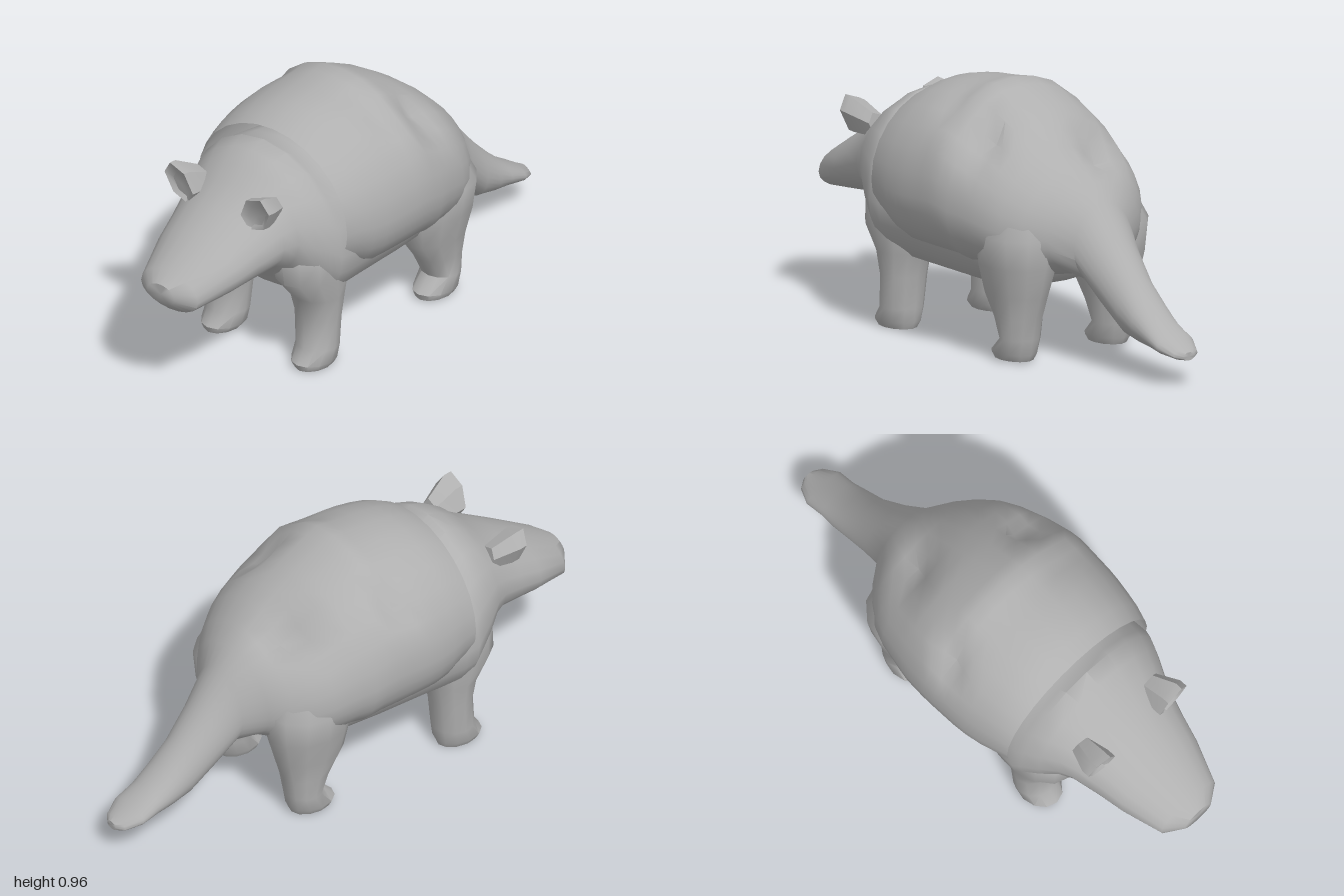
import * as THREE from 'three';
import { toCreasedNormals } from 'three/addons/utils/BufferGeometryUtils.js';

const grey = new THREE.MeshStandardMaterial({ color: 0xb0b0b0 });
grey.name = 'grey hide';
grey.side = THREE.DoubleSide;

// Skins a list of sections; point(section, cos, sin) gives each ring vertex.
function loft(name, sections, sides, point, capStart = true, crease = 0.9) {
  const pos = [], index = [], last = (sections.length - 1) * sides;
  for (const s of sections) {
    for (let j = 0; j < sides; j++) {
      const a = (j / sides) * Math.PI * 2;
      pos.push(...point(s, Math.cos(a), Math.sin(a)));
    }
  }
  for (let i = 0; i < sections.length - 1; i++) {
    for (let j = 0; j < sides; j++) {
      const a = i * sides + j, b = i * sides + (j + 1) % sides;
      index.push(a, a + sides, b, b, a + sides, b + sides);
    }
  }
  const cap = (start, flip) => {
    const centre = [0, 0, 0];
    for (let j = 0; j < sides; j++) {
      for (let k = 0; k < 3; k++) centre[k] += pos[(start + j) * 3 + k] / sides;
    }
    const c = pos.length / 3;
    pos.push(...centre);
    for (let j = 0; j < sides; j++) {
      const a = start + j, b = start + (j + 1) % sides;
      index.push(c, flip ? b : a, flip ? a : b);
    }
  };
  if (capStart) cap(0, false);
  cap(last, true);
  const g = new THREE.BufferGeometry();
  g.setAttribute('position', new THREE.Float32BufferAttribute(pos, 3));
  g.setIndex(index);
  const mesh = new THREE.Mesh(toCreasedNormals(g, crease), grey);
  mesh.name = name;
  return mesh;
}

// Rounded upright section: [z, top, bottom, half width, lower squareness]
function trunkPoint([z, top, bottom, half, power = 1], c, s) {
  const mid = bottom + (top - bottom) * (0.3 + 0.15 * power);
  const p = s < 0 ? power : 1;
  return [half * Math.sign(c) * Math.abs(c) ** p, mid + s * (s > 0 ? top - mid : mid - bottom), z];
}

// Hollows in the worn shell: [x, y, z, radius, depth]
const dents = [
  [-0.14, 0.75, -0.31, 0.09, 0.08], [0.26, 0.81, -0.13, 0.075, 0.07],
  [-0.3, 0.82, 0.04, 0.06, 0.05], [0.22, 0.88, 0.05, 0.06, 0.03],
];
function shellPoint(section, c, s) {
  const p = trunkPoint(section, c, s);
  let push = 0;
  for (const [x, y, z, r, d] of dents) {
    push += d * Math.exp(-((p[0] - x) ** 2 + (p[1] - y) ** 2 + (p[2] - z) ** 2) / (r * r));
  }
  return [p[0] - c * push, p[1] - s * push, p[2]];
}

// Horizontal leg section: [y, x, z, half width, half length]
const legPoint = (side) => ([y, x, z, rx, rz], c, s) => [side * x + rx * c, y, z + rz * s];

// Tilted ear section: [z, x, y, half width, half height]
const earPoint = (side) => ([z, x, y, rx, ry], c, s) =>
  [side * x + rx * c, y + ry * s + side * c * rx * 0.35, z + ry * s * 0.15];

export function createModel() {
  const model = new THREE.Group();
  model.name = 'armadillo';

  // Snout, head, raised neck collar, chest and belly
  model.add(loft('headAndBelly', [
    [1, 0.505, 0.43, 0.065], [0.95, 0.54, 0.385, 0.135], [0.8, 0.63, 0.4, 0.19],
    [0.7, 0.69, 0.41, 0.215], [0.6, 0.75, 0.42, 0.245], [0.55, 0.8, 0.4, 0.27, 0.9],
    [0.49, 0.84, 0.33, 0.305, 0.75], [0.43, 0.86, 0.28, 0.335, 0.65], [0.4, 0.84, 0.26, 0.347, 0.6],
    [0.35, 0.84, 0.245, 0.345, 0.6], [0.2, 0.82, 0.23, 0.33, 0.7],
    [0, 0.78, 0.22, 0.31, 0.75], [-0.15, 0.7, 0.225, 0.29, 0.8], [-0.3, 0.6, 0.27, 0.23, 0.8],
    [-0.4, 0.52, 0.35, 0.12],
  ], 20, trunkPoint));

  // Domed shell flowing into the rump and tail, open at the neck
  model.add(loft('shellAndTail', [
    [0.38, 0.88, 0.37, 0.352, 0.6], [0.32, 0.912, 0.36, 0.37, 0.55],
    [0.26, 0.93, 0.34, 0.383, 0.5], [0.2, 0.94, 0.33, 0.393, 0.5], [0.15, 0.945, 0.33, 0.398, 0.5],
    [0.1, 0.95, 0.33, 0.4, 0.5], [0.05, 0.957, 0.33, 0.402, 0.5], [0, 0.965, 0.33, 0.403, 0.5],
    [-0.05, 0.945, 0.33, 0.4, 0.5], [-0.1, 0.92, 0.32, 0.393, 0.5], [-0.15, 0.895, 0.32, 0.383, 0.55],
    [-0.2, 0.865, 0.31, 0.37, 0.6], [-0.26, 0.825, 0.31, 0.355, 0.6], [-0.32, 0.78, 0.31, 0.33, 0.65],
    [-0.39, 0.715, 0.32, 0.28, 0.7], [-0.45, 0.66, 0.33, 0.215, 0.9], [-0.51, 0.595, 0.3, 0.135],
    [-0.6, 0.485, 0.215, 0.11], [-0.7, 0.37, 0.14, 0.093], [-0.78, 0.29, 0.127, 0.09],
    [-0.85, 0.23, 0.12, 0.083], [-0.92, 0.185, 0.113, 0.085], [-0.98, 0.145, 0.105, 0.055],
    [-1, 0.135, 0.105, 0.025],
  ], 28, shellPoint, false));

  for (const side of [1, -1]) {
    const label = side > 0 ? 'left' : 'right';

    // Front leg with a small forward toe, widening into the shoulder
    model.add(loft(label + 'FrontLeg', [
      [0.005, 0.215, 0.4, 0.06, 0.085], [0.03, 0.213, 0.4, 0.078, 0.095], [0.08, 0.212, 0.38, 0.082, 0.078],
      [0.2, 0.208, 0.373, 0.09, 0.078], [0.29, 0.205, 0.375, 0.102, 0.1], [0.38, 0.2, 0.395, 0.12, 0.155],
      [0.48, 0.185, 0.4, 0.135, 0.15], [0.58, 0.17, 0.38, 0.13, 0.12], [0.68, 0.15, 0.36, 0.08, 0.08],
    ], 12, legPoint(side)));

    // Hind leg with haunch
    model.add(loft(label + 'HindLeg', [
      [0.01, 0.215, -0.265, 0.06, 0.085], [0.035, 0.215, -0.267, 0.075, 0.096], [0.09, 0.213, -0.298, 0.077, 0.07],
      [0.17, 0.21, -0.285, 0.085, 0.098], [0.25, 0.208, -0.268, 0.1, 0.14], [0.36, 0.205, -0.27, 0.13, 0.165],
      [0.47, 0.2, -0.275, 0.15, 0.17], [0.6, 0.17, -0.25, 0.12, 0.14],
    ], 12, legPoint(side)));

    // Shallow cupped ear
    model.add(loft(label + 'Ear', [
      [0.675, 0.178, 0.715, 0.04, 0.045], [0.69, 0.18, 0.725, 0.067, 0.074],
      [0.66, 0.18, 0.722, 0.068, 0.074], [0.57, 0.165, 0.7, 0.045, 0.05],
    ], 6, earPoint(side), true, 0.6));
  }
  return model;
}
